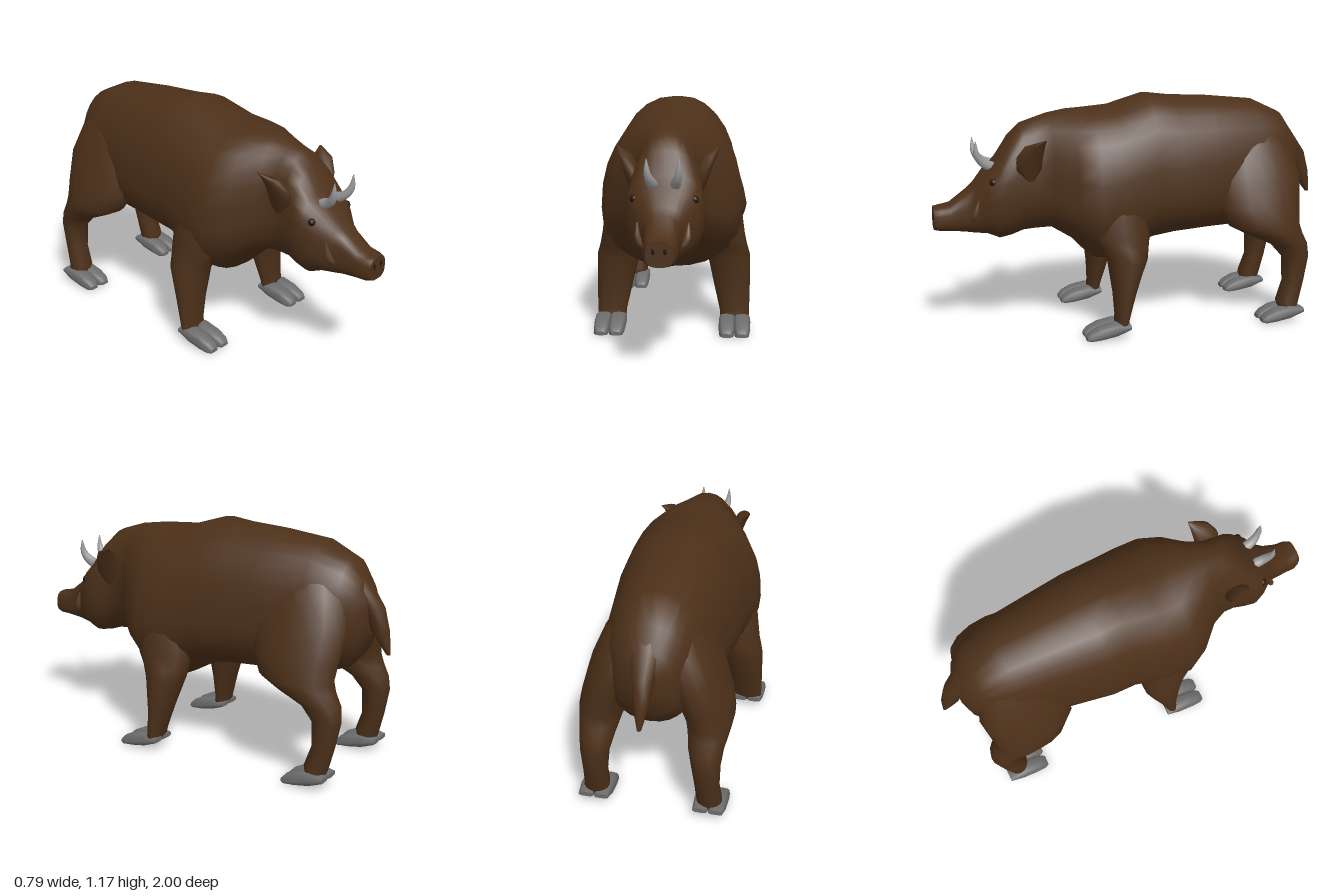
import * as THREE from 'three';

const mat = (color) => new THREE.MeshStandardMaterial({ color, roughness: 0.9 });

// Skin a list of equal-length rings, closing both ends with flat caps
function loft(rings) {
  const n = rings[0].length, pos = [], idx = [];
  const push = (p) => pos.push(p.x, p.y, p.z) / 3 - 1;
  rings.forEach((r) => r.forEach(push));
  for (let i = 0; i < rings.length - 1; i++) {
    for (let j = 0; j < n; j++) {
      const k = (j + 1) % n, a = i * n + j, b = i * n + k, c = a + n, d = b + n;
      idx.push(a, b, c, b, d, c);
    }
  }
  [[rings[0], true], [rings[rings.length - 1], false]].forEach(([r, first]) => {
    const mid = new THREE.Vector3();
    r.forEach((p) => mid.addScaledVector(p, 1 / n));
    const c = push(mid), s = c + 1;
    r.forEach(push);
    for (let j = 0; j < n; j++) {
      const k = (j + 1) % n;
      if (first) idx.push(c, s + k, s + j);
      else idx.push(c, s + j, s + k);
    }
  });
  const g = new THREE.BufferGeometry();
  g.setAttribute('position', new THREE.Float32BufferAttribute(pos, 3));
  g.setIndex(idx);
  g.computeVertexNormals();
  return g;
}

// Upright rings along z: [z, bottom, top, height of widest point, half width, roundness]
function loftZ(sections, n, x0 = 0) {
  return loft(sections.map(([z, lo, hi, mid, w, power = 0.9]) => {
    const bend = (v) => Math.sign(v) * Math.abs(v) ** power;
    return Array.from({ length: n }, (_, j) => {
      const a = (j / n) * Math.PI * 2, s = bend(Math.sin(a));
      return new THREE.Vector3(x0 + w * bend(Math.cos(a)), mid + s * (s > 0 ? hi - mid : mid - lo), z);
    });
  }));
}

// Level rings from top to bottom: [y, x, z, half width, half depth]
function loftY(sections, n, side = 1) {
  return loft(sections.map(([y, x, z, w, d]) =>
    Array.from({ length: n }, (_, j) => {
      const a = (j / n) * Math.PI * 2;
      return new THREE.Vector3(x * side + w * Math.cos(a), y, z + d * Math.sin(a));
    })));
}

// Tapered tube through points with one radius per point
function taper(points, radii, n = 6) {
  const curve = new THREE.CatmullRomCurve3(points.map((p) => new THREE.Vector3(...p)));
  const steps = 8, frames = curve.computeFrenetFrames(steps);
  const rings = [];
  for (let i = 0; i <= steps; i++) {
    const t = i / steps, f = t * (radii.length - 1), k = Math.min(Math.floor(f), radii.length - 2);
    const r = THREE.MathUtils.lerp(radii[k], radii[k + 1], f - k), c = curve.getPointAt(t);
    rings.push(Array.from({ length: n }, (_, j) => {
      const a = (j / n) * Math.PI * 2;
      return c.clone().addScaledVector(frames.normals[i], r * Math.cos(a))
        .addScaledVector(frames.binormals[i], r * Math.sin(a));
    }));
  }
  return loft(rings);
}

export function createModel() {
  const model = new THREE.Group();
  const hide = mat(0x4c3019), hoofGrey = mat(0x6c6c6c), hornGrey = mat(0x9a9a9a);
  const dark = mat(0x1c120b), tuskBrown = mat(0x5a4028);
  const add = (name, geometry, material) => {
    const m = new THREE.Mesh(geometry, material);
    m.name = name;
    model.add(m);
    return m;
  };

  // Trunk, neck and head in one skin, squarer towards the snout
  add('body', loftZ([
    [-0.90, 0.70, 0.88, 0.79, 0.06], [-0.87, 0.60, 0.95, 0.77, 0.13],
    [-0.80, 0.52, 1.05, 0.76, 0.195], [-0.65, 0.47, 1.12, 0.74, 0.25],
    [-0.40, 0.46, 1.145, 0.72, 0.285], [-0.20, 0.45, 1.155, 0.70, 0.315],
    [-0.08, 0.43, 1.17, 0.70, 0.315], [0.10, 0.33, 1.115, 0.66, 0.345],
    [0.22, 0.345, 1.105, 0.64, 0.35], [0.32, 0.45, 1.10, 0.66, 0.30],
    [0.42, 0.51, 1.085, 0.70, 0.20], [0.50, 0.505, 1.06, 0.72, 0.165],
    [0.56, 0.50, 1.04, 0.72, 0.165], [0.62, 0.48, 0.98, 0.71, 0.175, 0.85],
    [0.68, 0.47, 0.88, 0.70, 0.18, 0.8], [0.74, 0.495, 0.825, 0.67, 0.15, 0.8],
    [0.80, 0.50, 0.75, 0.62, 0.10, 0.75], [0.84, 0.507, 0.715, 0.60, 0.082, 0.7],
    [0.92, 0.517, 0.655, 0.58, 0.076, 0.7], [0.97, 0.52, 0.645, 0.575, 0.075, 0.7],
    [1.00, 0.525, 0.64, 0.575, 0.06, 0.7],
  ], 28), hide);

  // Hanging tail growing out of the rump
  add('tail', loftY([
    [1.03, 0, -0.77, 0.09, 0.035], [0.95, 0, -0.825, 0.075, 0.05], [0.83, 0, -0.905, 0.052, 0.055],
    [0.72, 0, -0.943, 0.038, 0.047], [0.61, 0, -0.99, 0.01, 0.01],
  ], 10), hide);

  for (const side of [1, -1]) {
    const label = side > 0 ? 'left' : 'right';

    // Legs, the thighs sloping out from the narrow rump to the knee
    add(label + 'FrontLeg', loftY([
      [0.72, 0.215, 0.13, 0.105, 0.15], [0.60, 0.24, 0.12, 0.108, 0.15],
      [0.50, 0.253, 0.11, 0.108, 0.145], [0.44, 0.265, 0.095, 0.108, 0.12],
      [0.38, 0.282, 0.085, 0.108, 0.10], [0.22, 0.30, 0.105, 0.09, 0.058],
      [0.10, 0.313, 0.12, 0.075, 0.036], [0.05, 0.315, 0.13, 0.072, 0.036],
    ], 14, side), hide);
    add(label + 'RearLeg', loftY([
      [1.02, 0.07, -0.60, 0.10, 0.14], [0.90, 0.125, -0.61, 0.12, 0.21],
      [0.75, 0.18, -0.62, 0.13, 0.24], [0.60, 0.228, -0.625, 0.125, 0.22],
      [0.51, 0.255, -0.645, 0.115, 0.19], [0.46, 0.26, -0.70, 0.10, 0.15],
      [0.40, 0.26, -0.78, 0.083, 0.098], [0.33, 0.265, -0.815, 0.07, 0.07],
      [0.20, 0.27, -0.805, 0.06, 0.055], [0.10, 0.275, -0.775, 0.062, 0.06],
      [0.05, 0.28, -0.775, 0.062, 0.045],
    ], 16, side), hide);

    // Blocky cloven hooves: two toes that part at the tip
    for (const [name, x, z] of [['FrontHoof', 0.315, 0], ['RearHoof', 0.28, -0.93]]) {
      for (const toe of [-1, 1]) {
        add(label + name, loftZ([
          [z + 0.09, 0.045, 0.07, 0.058, 0.035, 0.6], [z + 0.16, 0.018, 0.085, 0.045, 0.042, 0.6],
          [z + 0.24, 0.004, 0.07, 0.025, 0.041, 0.6], [z + 0.29, 0, 0.045, 0.012, 0.036, 0.6],
          [z + 0.31, 0.004, 0.024, 0.01, 0.024, 0.6],
        ], 12, x * side + toe * 0.038), hoofGrey);
      }
    }

    // Broad pointed ears
    add(label + 'Ear', loftY([
      [0.98, 0.237, 0.475, 0.004, 0.006], [0.95, 0.20, 0.52, 0.032, 0.05],
      [0.89, 0.17, 0.542, 0.038, 0.066], [0.83, 0.155, 0.545, 0.032, 0.064],
      [0.77, 0.14, 0.535, 0.025, 0.03],
    ], 10, side), hide);

    // Brow horns, tusks, eyes and nostrils
    add(label + 'Horn', taper([
      [0.05 * side, 0.83, 0.70], [0.057 * side, 0.855, 0.755],
      [0.07 * side, 0.90, 0.785], [0.073 * side, 0.965, 0.79],
    ], [0.028, 0.024, 0.016, 0.002]), hornGrey);
    add(label + 'Tusk', taper([
      [0.075 * side, 0.575, 0.81], [0.105 * side, 0.60, 0.805], [0.115 * side, 0.68, 0.785],
    ], [0.018, 0.015, 0.003]), tuskBrown);
    add(label + 'Eye', new THREE.SphereGeometry(0.02, 10, 8), dark).position.set(0.135 * side, 0.77, 0.715);
    const nostril = add(label + 'Nostril', new THREE.SphereGeometry(0.016, 8, 6), dark);
    nostril.scale.set(0.7, 1.3, 0.2);
    nostril.position.set(0.026 * side, 0.595, 0.998);
  }
  return model;
}
